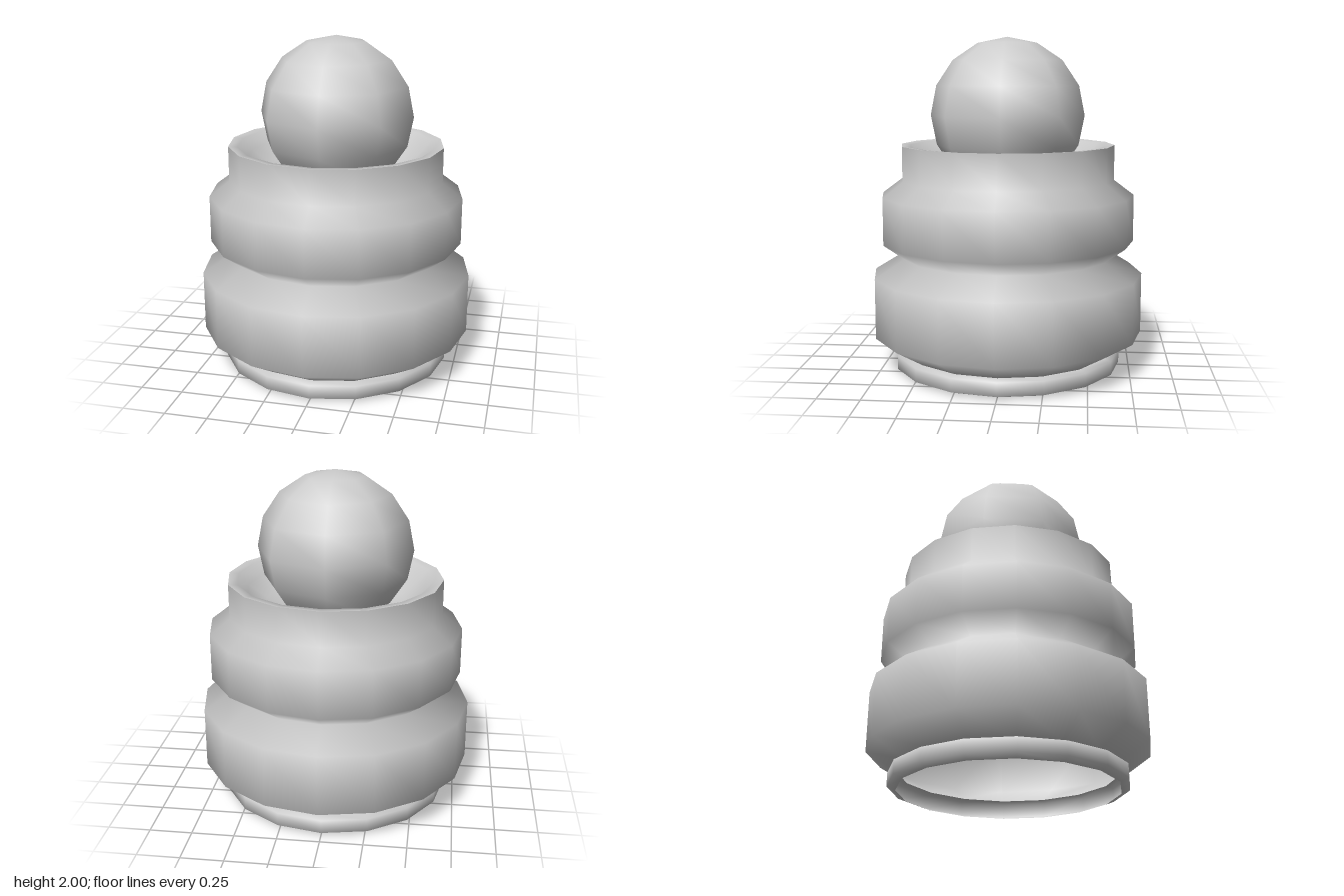
import * as THREE from 'three';

const SIDES = 16;

export function createModel() {
  const model = new THREE.Group();
  const material = new THREE.MeshStandardMaterial({ color: 0xcccccc, side: THREE.DoubleSide });

  const add = (name, geometry, y = 0) => {
    const mesh = new THREE.Mesh(geometry, material);
    mesh.name = name;
    mesh.position.y = y;
    model.add(mesh);
  };
  // Turned part from [radius, height] pairs
  const turned = (name, profile) =>
    add(name, new THREE.LatheGeometry(profile.map(([r, y]) => new THREE.Vector2(r, y)), SIDES));

  // Foot ring around the open underside
  turned('footRing', [[0.64, 0], [0.69, 0.02], [0.69, 0.1], [0.64, 0.11]]);

  // Hollow shell: two stacked bulges and the collar
  turned('body', [
    [0.64, 0.11], [0.82, 0.22], [0.82, 0.58], [0.64, 0.69],
    [0.765, 0.78], [0.765, 1.06], [0.645, 1.15], [0.645, 1.36],
  ]);

  // Soft rim and funnel-shaped seat that closes against the ball
  turned('cup', [[0.645, 1.36], [0.59, 1.355], [0.53, 1.29], [0.42, 1.21], [0.28, 1.17]]);

  // Ball resting in the cup
  add('ball', new THREE.SphereGeometry(0.465, 8, 8), 1.535);

  return model;
}
